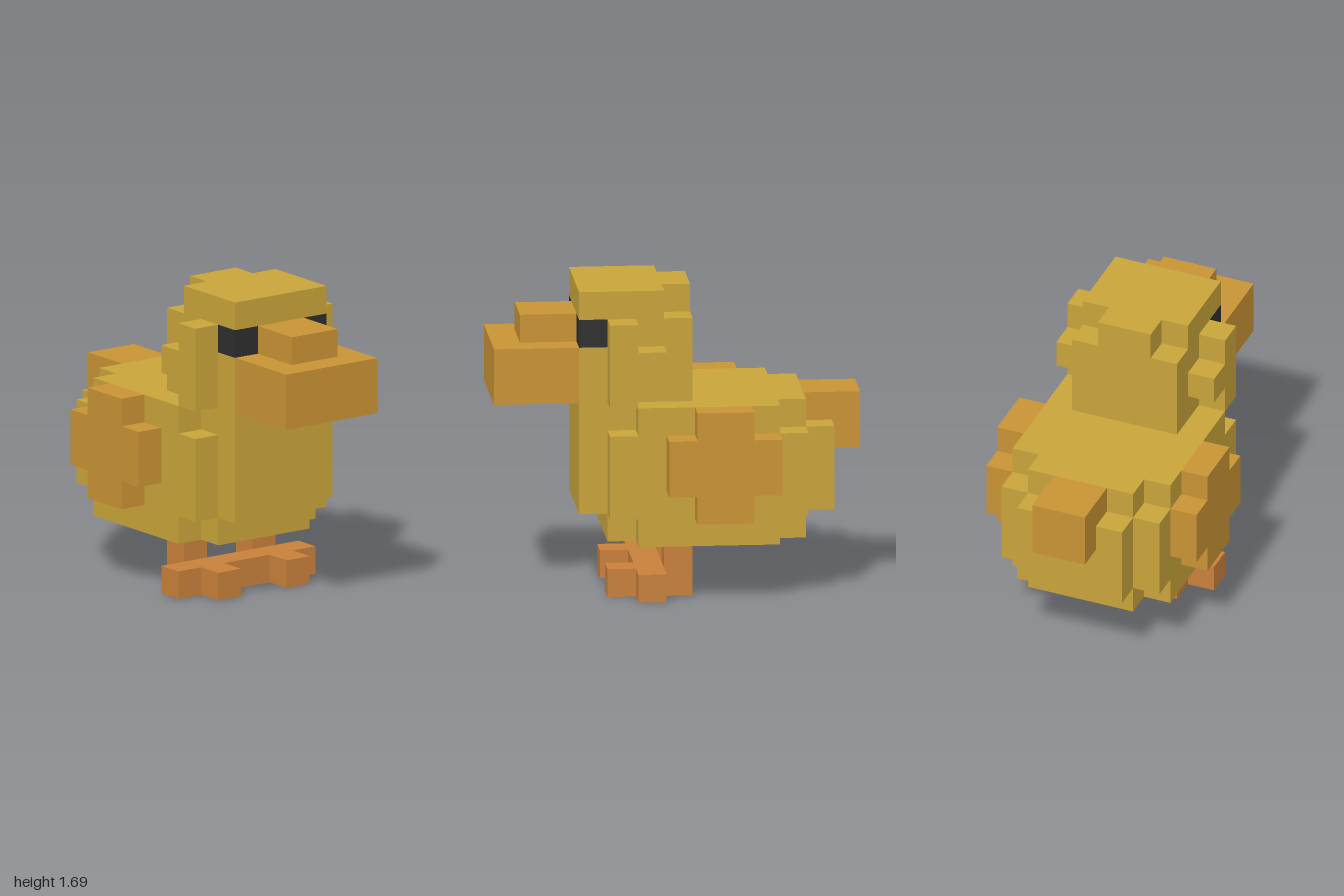
import * as THREE from 'three';

const U = 2 / 13; // edge of one block

const material = (name, color) => {
  const m = new THREE.MeshStandardMaterial({ color });
  m.name = name;
  return m;
};

export function createModel() {
  const yellow = material('yellow feathers', 0xc8a43a);
  const orange = material('orange beak and wings', 0xc89334);
  const rust = material('rust feet', 0xc8803a);
  const black = material('black eyes', 0x2d2d2d);

  const duck = new THREE.Group();
  duck.name = 'duck';

  const add = (name, geometry, mat) => {
    const mesh = new THREE.Mesh(geometry, mat);
    mesh.name = name;
    duck.add(mesh);
  };

  // Box between block coordinates
  const block = (name, mat, [x0, x1], [y0, y1], [z0, z1]) => {
    const g = new THREE.BoxGeometry(x1 - x0, y1 - y0, z1 - z0);
    g.translate((x0 + x1) / 2, (y0 + y1) / 2, (z0 + z1) / 2);
    add(name, g.scale(U, U, U), mat);
  };

  // Side outline of [z, y] corners, extruded across x0..x1
  const slab = (name, mat, [x0, x1], outline) => {
    const shape = new THREE.Shape(outline.map(([z, y]) => new THREE.Vector2(z, y)));
    const g = new THREE.ExtrudeGeometry(shape, { depth: x1 - x0, bevelEnabled: false });
    g.translate(0, 0, -x1).rotateY(-Math.PI / 2);
    add(name, g.scale(U, U, U), mat);
  };

  // Left and right range for a part lying between a and b
  const sides = [
    ['left', (a, b) => [a, b]],
    ['right', (a, b) => [-b, -a]],
  ];

  // Body and tail
  slab('body', yellow, [-2, 2], [
    [-4.5, 2], [2.5, 2], [2.5, 3], [3.5, 3], [3.5, 7],
    [-4.5, 7], [-4.5, 6], [-5.5, 6], [-5.5, 3], [-4.5, 3],
  ]);
  slab('tail', orange, [-1, 1], [
    [-6.5, 5], [-5.5, 5], [-5.5, 6], [-4.5, 6], [-4.5, 7], [-6.5, 7],
  ]);

  // Head, leaving the eye corners open
  block('head', yellow, [-2, 2], [7, 9], [-0.5, 3.5]);
  block('headBand', yellow, [-2, 2], [9, 10], [-0.5, 2.5]);
  block('brow', yellow, [-1, 1], [9, 10], [2.5, 3.5]);
  block('crown', yellow, [-2, 2], [10, 11], [0.5, 3.5]);
  block('crownBack', yellow, [-1, 1], [10, 11], [-0.5, 0.5]);

  // Beak
  block('beak', orange, [-2, 2], [7, 9], [3.5, 6.5]);
  block('beakBridge', orange, [-1, 1], [9, 10], [3.5, 5.5]);

  // Bar of the feet, shared by both sides
  block('footBar', rust, [-3, 3], [0, 1], [0.5, 1.5]);

  for (const [side, span] of sides) {
    slab(`${side}Flank`, yellow, span(2, 3), [
      [-3.5, 2], [1.5, 2], [1.5, 3], [2.5, 3], [2.5, 6], [1.5, 6],
      [1.5, 7], [-3.5, 7], [-3.5, 6], [-4.5, 6], [-4.5, 3], [-3.5, 3],
    ]);
    slab(`${side}Wing`, orange, span(3, 4), [
      [-2.5, 3], [-0.5, 3], [-0.5, 4], [0.5, 4], [0.5, 6], [-0.5, 6],
      [-0.5, 7], [-2.5, 7], [-2.5, 6], [-3.5, 6], [-3.5, 4], [-2.5, 4],
    ]);
    slab(`${side}Cheek`, yellow, span(2, 3), [
      [1.5, 7], [2.5, 7], [2.5, 10], [1.5, 10],
      [1.5, 9], [0.5, 9], [0.5, 8], [1.5, 8],
    ]);
    block(`${side}Eye`, black, span(1, 2), [9, 10], [2.5, 3.5]);
    block(`${side}Leg`, rust, span(1, 2), [0, 2], [-0.5, 0.5]);
    block(`${side}Toe`, rust, span(1, 2), [0, 1], [1.5, 2.5]);
  }

  return duck;
}
